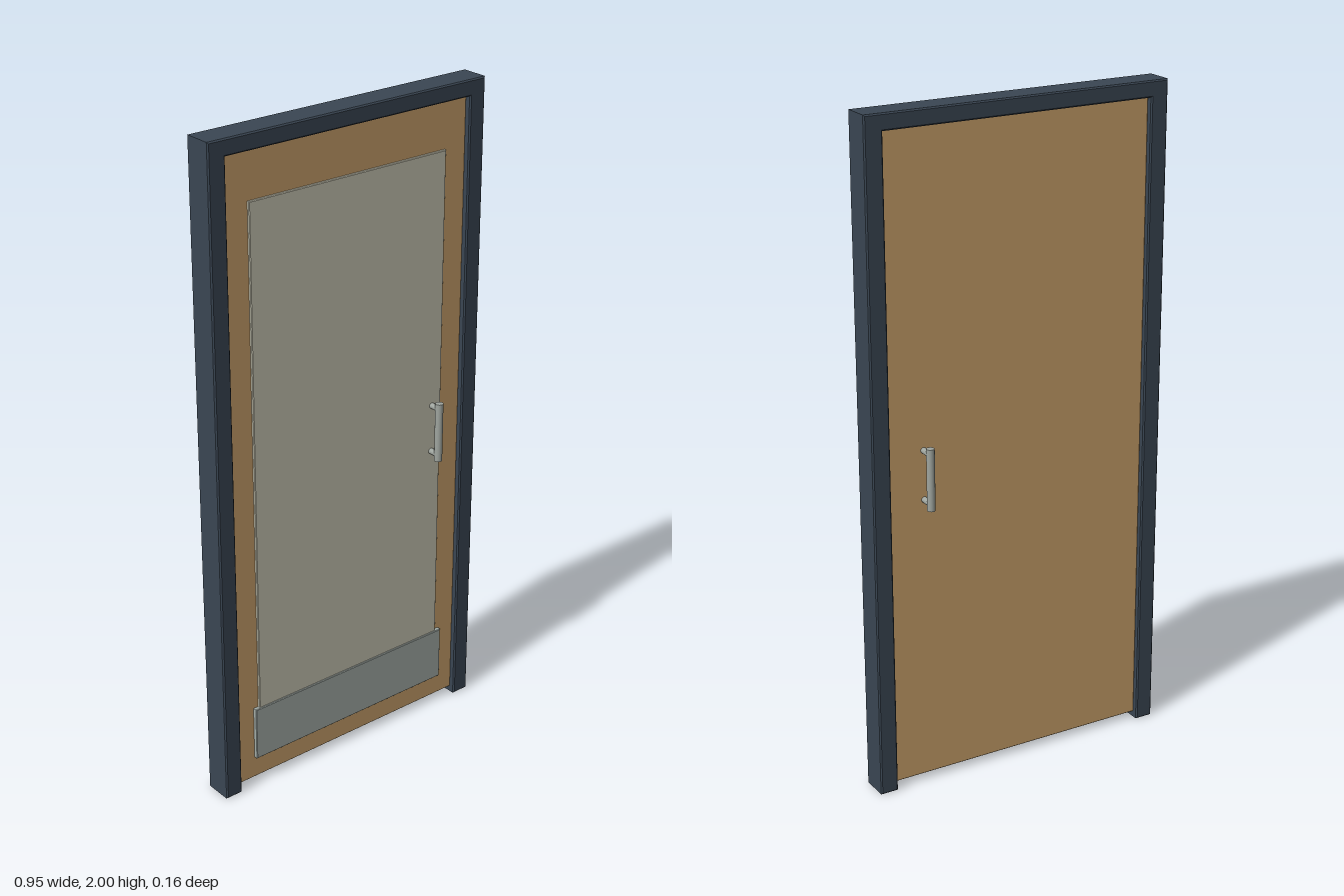
import * as THREE from 'three';

const mat = (color) => new THREE.MeshStandardMaterial({ color });

function add(parent, name, geometry, material, x = 0, y = 0, z = 0) {
  const mesh = new THREE.Mesh(geometry, material);
  mesh.name = name;
  mesh.position.set(x, y, z);
  parent.add(mesh);
  return mesh;
}

// Slab with small chamfered edges, spanning z0 to z1; points outline it in x and y
function slab(points, z0, z1, bevel) {
  const shape = new THREE.Shape(points.map(([x, y]) => new THREE.Vector2(x, y)));
  const geometry = new THREE.ExtrudeGeometry(shape, {
    depth: z1 - z0 - 2 * bevel,
    bevelThickness: bevel,
    bevelSize: bevel,
    bevelOffset: -bevel,
    bevelSegments: 1,
  });
  return geometry.translate(0, 0, z0 + bevel);
}

const rect = (w, y0, y1) => [[-w, y0], [w, y0], [w, y1], [-w, y1]];

export function createModel() {
  const model = new THREE.Group();
  model.name = 'door';

  const frameMat = mat(0x3a4653);
  const woodMat = mat(0xc8a06a);
  const glassMat = mat(0xc7c5b2);
  const plateMat = mat(0xa3aca7);
  const metalMat = mat(0xa0a6a0);

  const outer = 0.473, inner = 0.418, headY = 1.952;
  const frameZ = 0.045, leafZ = 0.028;

  // Frame: two jambs joined by a header, open at the floor
  add(model, 'frame', slab([
    [-outer, 0], [-inner, 0], [-inner, headY], [inner, headY],
    [inner, 0], [outer, 0], [outer, 2], [-outer, 2],
  ], -frameZ, frameZ, 0.004), frameMat);

  // Door leaf with the glazing panel and kick plate on its front face
  add(model, 'leaf', slab(rect(inner, 0.02, headY), -leafZ, leafZ, 0.002), woodMat);
  add(model, 'glazing', slab(rect(0.341, 0.16, 1.813), leafZ - 0.005, leafZ + 0.008, 0.002), glassMat);
  add(model, 'kickPlate', slab(rect(0.358, 0.09, 0.26), leafZ - 0.005, leafZ + 0.013, 0.002), plateMat);

  // Pull handles, mirrored on both faces: a vertical bar on two posts
  const barZ = 0.069, handleY = 0.967;
  for (const side of [1, -1]) {
    const handle = new THREE.Group();
    handle.name = side > 0 ? 'frontHandle' : 'backHandle';
    handle.position.set(0.307, handleY, 0);
    add(handle, 'bar', new THREE.CylinderGeometry(0.012, 0.012, 0.185, 16), metalMat, 0, 0, side * barZ);
    const postLength = barZ - leafZ + 0.004;
    for (const dy of [-0.074, 0.074]) {
      const post = add(handle, 'post', new THREE.CylinderGeometry(0.009, 0.009, postLength, 12),
        metalMat, 0, dy, side * (barZ - postLength / 2));
      post.rotation.x = Math.PI / 2;
    }
    model.add(handle);
  }

  return model;
}
